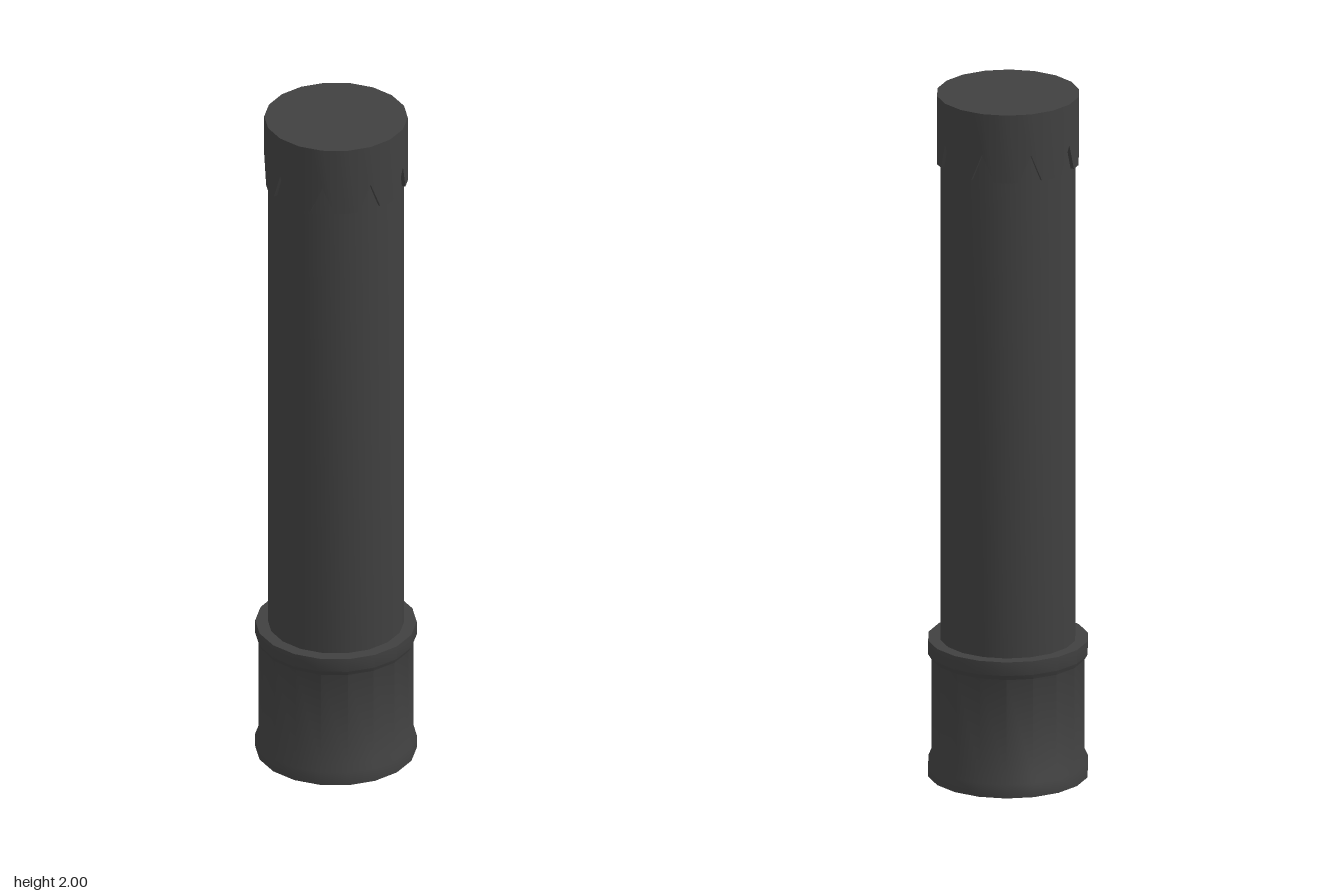
import * as THREE from 'three';
import { toCreasedNormals } from 'three/addons/utils/BufferGeometryUtils.js';

const SIDES = 18;
const START = Math.PI / SIDES; // puts flat facets at front and back
const material = new THREE.MeshStandardMaterial({ color: 0x404040 });

// Turned solid; the profile runs from bottom to top as [radius, height]
function turned(profile, segments = SIDES) {
  const points = profile.map(([r, y]) => new THREE.Vector2(r, y));
  return new THREE.LatheGeometry(points, segments, START);
}

function part(name, geometry) {
  const mesh = new THREE.Mesh(toCreasedNormals(geometry, 0.6), material);
  mesh.name = name;
  return mesh;
}

// Cap whose lower rim is cut by nine V-shaped notches
function notchedCap() {
  const profile = [[0.185, 1.8], [0.2, 1.8], [0.2, 2], [0, 2]];
  const geometry = turned(profile, SIDES * 2);
  const pos = geometry.attributes.position;
  for (let i = 0; i < pos.count; i++) {
    const column = Math.floor(i / profile.length);
    // Odd columns sit on the middle of each flat facet
    if (column % 2 === 1) {
      const k = Math.cos(START);
      pos.setX(i, pos.getX(i) * k);
      pos.setZ(i, pos.getZ(i) * k);
    }
    if (column % 4 === 2 && i % profile.length < 2) pos.setY(i, 1.88);
  }
  return geometry;
}

export function createModel() {
  const group = new THREE.Group();
  group.name = 'post';

  // Base sleeve with a raised lip at each end
  group.add(part('base', turned([
    [0, 0], [0.225, 0], [0.225, 0.04], [0.216, 0.06],
    [0.216, 0.345], [0.225, 0.36], [0.225, 0.4], [0, 0.4],
  ])));

  // Plain shaft, ending inside the cap
  group.add(part('shaft', turned([[0, 0.39], [0.19, 0.39], [0.19, 1.98], [0, 1.98]])));

  group.add(part('notchedCap', notchedCap()));
  return group;
}
